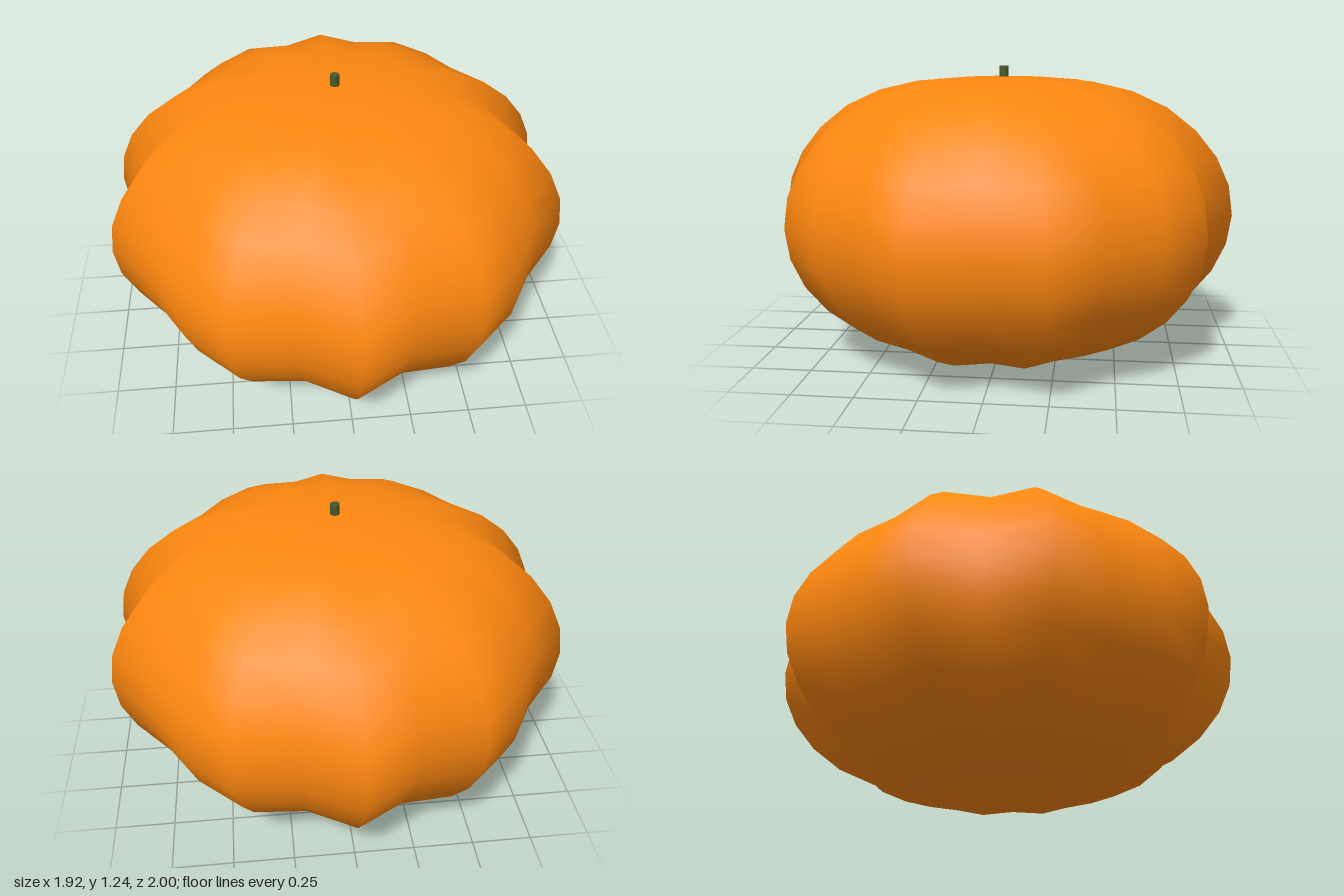
import * as THREE from 'three';
import { mergeVertices } from 'three/addons/utils/BufferGeometryUtils.js';

const SIDES = 24, RINGS = 16, MIDDLE = 0.595;
// Ring heights above the equator, from pole to equator (flattened top and bottom)
const HEIGHTS = [0.595, 0.59, 0.575, 0.535, 0.465, 0.367, 0.253, 0.13, 0];

// Squashed sphere whose radius swells into ten ribs
function ribbedBody() {
  const sphere = new THREE.SphereGeometry(1, SIDES, RINGS);
  const p = sphere.attributes.position;
  for (let i = 0; i < p.count; i++) {
    const x = p.getX(i), y = p.getY(i), z = p.getZ(i);
    const ring = Math.round(Math.acos(Math.min(1, Math.abs(y))) / (Math.PI / RINGS));
    const rib = 0.9425 + 0.0575 * Math.cos(10 * Math.atan2(x, z));
    p.setXYZ(i, x * rib, MIDDLE + Math.sign(y) * HEIGHTS[ring], z * rib);
  }
  // Weld the seam and poles so the shading is continuous
  sphere.deleteAttribute('uv');
  sphere.deleteAttribute('normal');
  const body = mergeVertices(sphere, 1e-4);
  body.computeVertexNormals();
  return body;
}

export function createModel() {
  const group = new THREE.Group();
  group.name = 'pumpkin';

  const body = new THREE.Mesh(ribbedBody(), new THREE.MeshStandardMaterial({ color: 0xff8810 }));
  body.name = 'body';

  // Short stem standing on the flat top
  const stem = new THREE.Mesh(
    new THREE.CylinderGeometry(0.02, 0.02, 0.065, 8),
    new THREE.MeshStandardMaterial({ color: 0x4a5a2a })
  );
  stem.name = 'stem';
  stem.position.y = 1.204;

  group.add(body, stem);
  return group;
}
